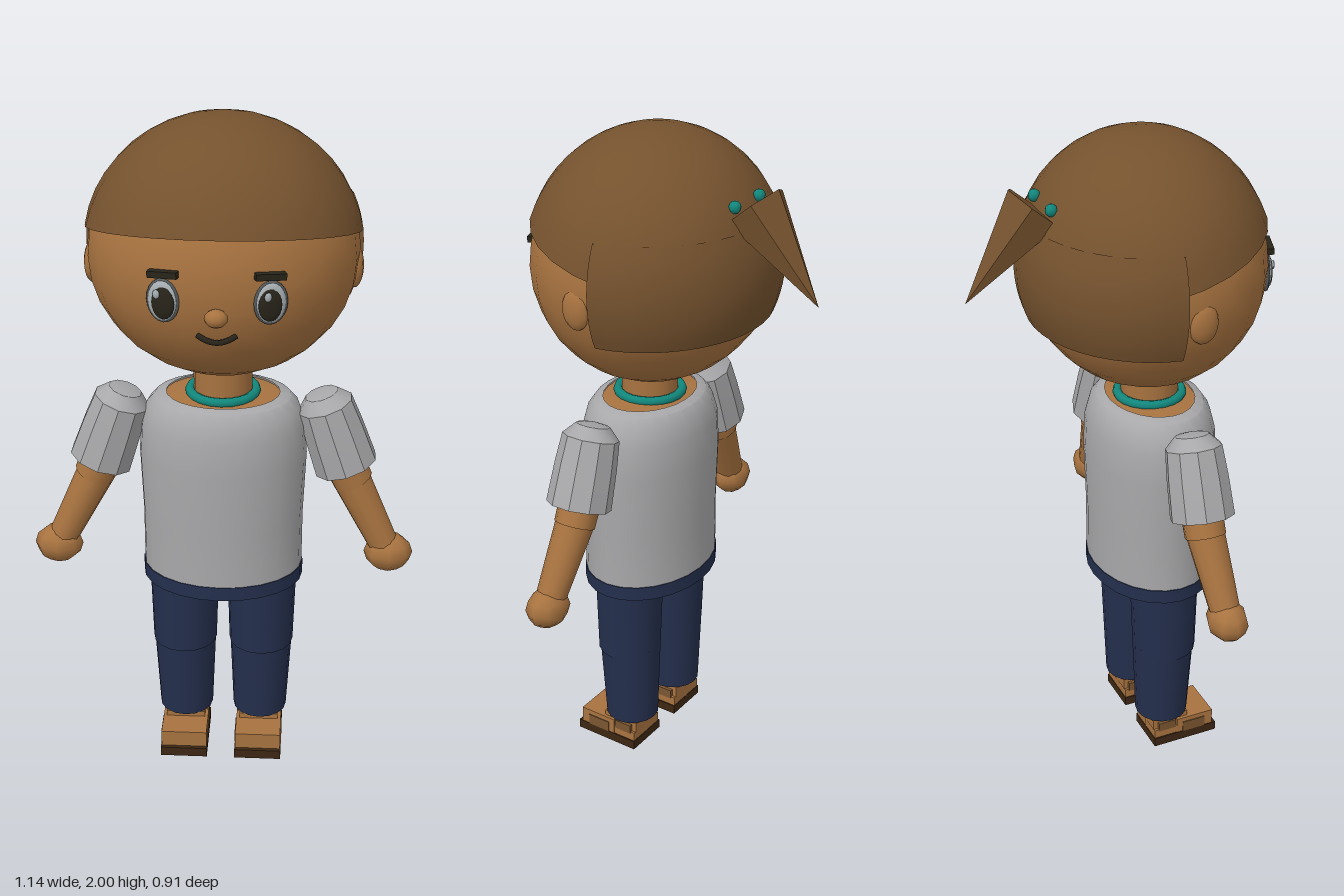
import * as THREE from 'three';
import { toCreasedNormals } from 'three/addons/utils/BufferGeometryUtils.js';

const mat = (name, color, side = THREE.FrontSide) => {
  const m = new THREE.MeshStandardMaterial({ color, side });
  m.name = name;
  return m;
};

export function createModel() {
  const skin = mat('skin', 0xa87340);
  const hair = mat('hair brown', 0x75522e, THREE.DoubleSide);
  const shirt = mat('shirt grey', 0xa8a8aa, THREE.DoubleSide);
  const navy = mat('trouser navy', 0x242f4d);
  const teal = mat('teal', 0x12877c);
  const soleBrown = mat('sole brown', 0x3d2713);
  const strapBrown = mat('strap brown', 0x7a5530);
  const eyeWhite = mat('eye white', 0xa9b1b6);
  const dark = mat('dark', 0x28241a);
  const rim = mat('eye rim', 0x55595a);

  const model = new THREE.Group();
  model.name = 'child';
  const add = (name, geo, m, x = 0, y = 0, z = 0, parent = model) => {
    const mesh = new THREE.Mesh(geo, m);
    mesh.name = name;
    mesh.position.set(x, y, z);
    parent.add(mesh);
    return mesh;
  };
  const ball = (name, m, [x, y, z], [rx, ry, rz], w = 16, h = 12, parent = model) => {
    const mesh = add(name, new THREE.SphereGeometry(1, w, h), m, x, y, z, parent);
    mesh.scale.set(rx, ry, rz);
    return mesh;
  };
  const box = (name, m, x0, x1, y0, y1, z0, z1) =>
    add(name, new THREE.BoxGeometry(x1 - x0, y1 - y0, z1 - z0), m, (x0 + x1) / 2, (y0 + y1) / 2, (z0 + z1) / 2);
  // Tapered limb from point a (top) to point b (bottom)
  const limb = (name, m, a, b, ra, rb, sides) => {
    const A = new THREE.Vector3(...a), B = new THREE.Vector3(...b);
    const axis = A.clone().sub(B);
    const mesh = add(name, new THREE.CylinderGeometry(ra, rb, axis.length(), sides), m);
    mesh.position.copy(A.add(B).multiplyScalar(0.5));
    mesh.quaternion.setFromUnitVectors(new THREE.Vector3(0, 1, 0), axis.normalize());
    return mesh;
  };
  const lathe = (points, sides) => toCreasedNormals(
    new THREE.LatheGeometry(points.map(([r, y]) => new THREE.Vector2(r, y)), sides), 0.6);
  // Surface through a grid of points given by f(column, row)
  const grid = (cols, rows, f) => {
    const pos = [], idx = [];
    for (let j = 0; j <= rows; j++) for (let i = 0; i <= cols; i++) pos.push(...f(i, j));
    for (let j = 0; j < rows; j++) for (let i = 0; i < cols; i++) {
      const a = j * (cols + 1) + i, b = a + cols + 1;
      idx.push(a, b, a + 1, b, b + 1, a + 1);
    }
    const g = new THREE.BufferGeometry();
    g.setAttribute('position', new THREE.Float32BufferAttribute(pos, 3));
    g.setIndex(idx);
    return toCreasedNormals(g, 0.6);
  };

  // Head
  const cy = 1.62, cz = 0.075;
  ball('head', skin, [0, cy, cz], [0.382, 0.36, 0.345], 24, 16);
  limb('neck', skin, [0, 1.32, 0.1], [0, 1.15, 0.1], 0.085, 0.085, 16);

  // Hair cap, cut by a sloping plane y = 1.663 + slope * z, with a thin rim below
  const rx = 0.392, ry = 0.38, rz = 0.362, slope = 0.23;
  const capRows = 10;
  add('hairCap', grid(28, capRows + 1, (i, j) => {
    const phi = i / 28 * Math.PI * 2;
    const B = -slope * rz * Math.cos(phi), C = 1.663 + slope * cz - cy;
    const end = Math.atan2(B, ry) + Math.acos(C / Math.hypot(ry, B));
    const t = end * Math.min(j, capRows) / capRows;
    const k = j > capRows ? 0.85 : 1;
    const z = cz + rz * Math.sin(t) * Math.cos(phi) * k;
    const y = k < 1 ? 1.663 + slope * z : cy + ry * Math.cos(t);
    return [rx * Math.sin(t) * Math.sin(phi) * k, y, z];
  }), hair);

  // Back hair behind z = 0.03 and above y = 1.47, with thin rims
  const backCols = 22, backRows = 12, frontZ = 0.03;
  add('hairBack', grid(backCols, backRows, (i, j) => {
    const y = 1.47 + 0.3 * Math.max(0, j - 1) / (backRows - 1);
    const k = 1.004 * Math.sqrt(1 - ((y - cy) / ry) ** 2);
    const start = Math.acos((frontZ - cz) / (rz * k));
    const u = (Math.min(Math.max(i, 1), backCols - 1) - 1) / (backCols - 2);
    const a = start + u * 2 * (Math.PI - start);
    const inX = i === 0 || i === backCols || j === 0 ? 0.88 : 1;
    const inZ = j === 0 ? 0.88 : 1;
    return [rx * k * Math.sin(a) * inX, y, frontZ + (cz + rz * k * Math.cos(a) - frontZ) * inZ];
  }), hair);

  // Ponytail and its tie
  const tail = limb('ponytail', hair, [0, 1.825, -0.25], [0, 1.58, -0.457], 0.095, 0.0005, 6);
  tail.geometry = toCreasedNormals(tail.geometry, 0.4);
  tail.rotateY(Math.PI);

  // Face
  ball('nose', skin, [0, 1.55, 0.428], [0.032, 0.025, 0.027], 10, 8);
  const smile = new THREE.QuadraticBezierCurve3(
    new THREE.Vector3(-0.052, 1.488, 0.392), new THREE.Vector3(0, 1.456, 0.418), new THREE.Vector3(0.052, 1.488, 0.392));
  add('mouth', new THREE.TubeGeometry(smile, 12, 0.008, 6), dark);

  // Mirrored parts
  for (const s of [1, -1]) {
    const side = s > 0 ? 'left' : 'right';
    ball(side + 'TailTie', teal, [s * 0.062, 1.835, -0.225], [0.018, 0.018, 0.018], 8, 6);
    ball(side + 'Ear', skin, [s * 0.368, 1.575, 0.083], [0.024, 0.06, 0.044], 12, 10);

    const eye = new THREE.Group();
    eye.name = side + 'Eye';
    eye.position.set(s * 0.142, 1.585, 0.394);
    eye.rotation.y = s * 0.3;
    model.add(eye);
    ball('eyeRim', rim, [0, 0, 0], [0.047, 0.062, 0.009], 16, 10, eye);
    ball('eyeWhite', eyeWhite, [0, 0, 0.003], [0.041, 0.056, 0.011], 16, 10, eye);
    ball('iris', dark, [-s * 0.003, -0.004, 0.008], [0.033, 0.046, 0.011], 16, 10, eye);
    ball('eyeGlint', eyeWhite, [-0.012, 0.022, 0.017], [0.01, 0.013, 0.005], 8, 6, eye);

    const brow = box(side + 'Brow', dark, s * 0.14 - 0.042, s * 0.14 + 0.042, 1.651, 1.669, 0.385, 0.409);
    brow.rotation.set(0, s * 0.32, -s * 0.07);

    // Sleeve with a shallow domed shoulder
    const sleeve = add(side + 'Sleeve', lathe(
      [[0, 0], [0.095, 0], [0.09, 0.12], [0.083, 0.205], [0.05, 0.24], [0, 0.25]], 10), shirt, s * 0.362, 0.963, 0.1);
    sleeve.rotation.z = s * 0.33;

    // Arm
    limb(side + 'UpperArm', skin, [s * 0.32, 1.05, 0.1], [s * 0.385, 0.91, 0.1], 0.062, 0.06, 12);
    limb(side + 'Forearm', skin, [s * 0.37, 0.935, 0.1], [s * 0.487, 0.7, 0.12], 0.058, 0.044, 12);
    ball(side + 'Hand', skin, [s * 0.497, 0.682, 0.12], [0.073, 0.06, 0.06], 8, 6);

    // Leg
    limb(side + 'Thigh', navy, [s * 0.118, 0.62, 0.1], [s * 0.118, 0.35, 0.103], 0.106, 0.098, 16);
    limb(side + 'Shin', navy, [s * 0.118, 0.37, 0.1], [s * 0.116, 0.1, 0.098], 0.096, 0.083, 16);

    // Foot and shoe
    const c = s * 0.115;
    limb(side + 'Ankle', skin, [c, 0.12, 0.1], [c, 0.03, 0.1], 0.055, 0.055, 10);
    box(side + 'Sole', soleBrown, c - 0.072, c + 0.072, 0, 0.03, 0.045, 0.262);
    box(side + 'ShoeToe', skin, c - 0.07, c + 0.07, 0.03, 0.082, 0.125, 0.25);
    box(side + 'ShoeHeel', skin, c - 0.068, c + 0.068, 0.03, 0.06, 0.047, 0.13);
    box(side + 'ShoeStrap', strapBrown, c - 0.071, c + 0.071, 0.055, 0.085, 0.06, 0.12);
    box(side + 'ShoePanel', strapBrown, c - 0.073, c + 0.073, 0.03, 0.066, 0.145, 0.222);
    box(side + 'ShoeTongue', skin, c - 0.06, c + 0.06, 0.06, 0.1, 0.045, 0.165);
  }

  // Torso, shirt, waistband and collar share one oval section
  const oval = (name, points, m) => {
    const mesh = add(name, lathe(points, 24), m, 0, 0, 0.1);
    mesh.scale.z = 0.765;
    return mesh;
  };
  oval('body', [[0, 0.6], [0.2, 0.6], [0.2, 1.1], [0.168, 1.186], [0, 1.2]], skin);
  oval('shirt', [[0.228, 0.63], [0.238, 0.63], [0.238, 0.8], [0.246, 1.0], [0.24, 1.1], [0.222, 1.155], [0.198, 1.183], [0.165, 1.192]], shirt);
  oval('waistband', [[0.198, 0.59], [0.241, 0.59], [0.241, 0.634], [0.2, 0.634]], navy);
  const collar = add('collar', new THREE.TorusGeometry(0.096, 0.014, 8, 20), teal, 0, 1.197, 0.1);
  collar.rotation.x = Math.PI / 2;

  return model;
}
